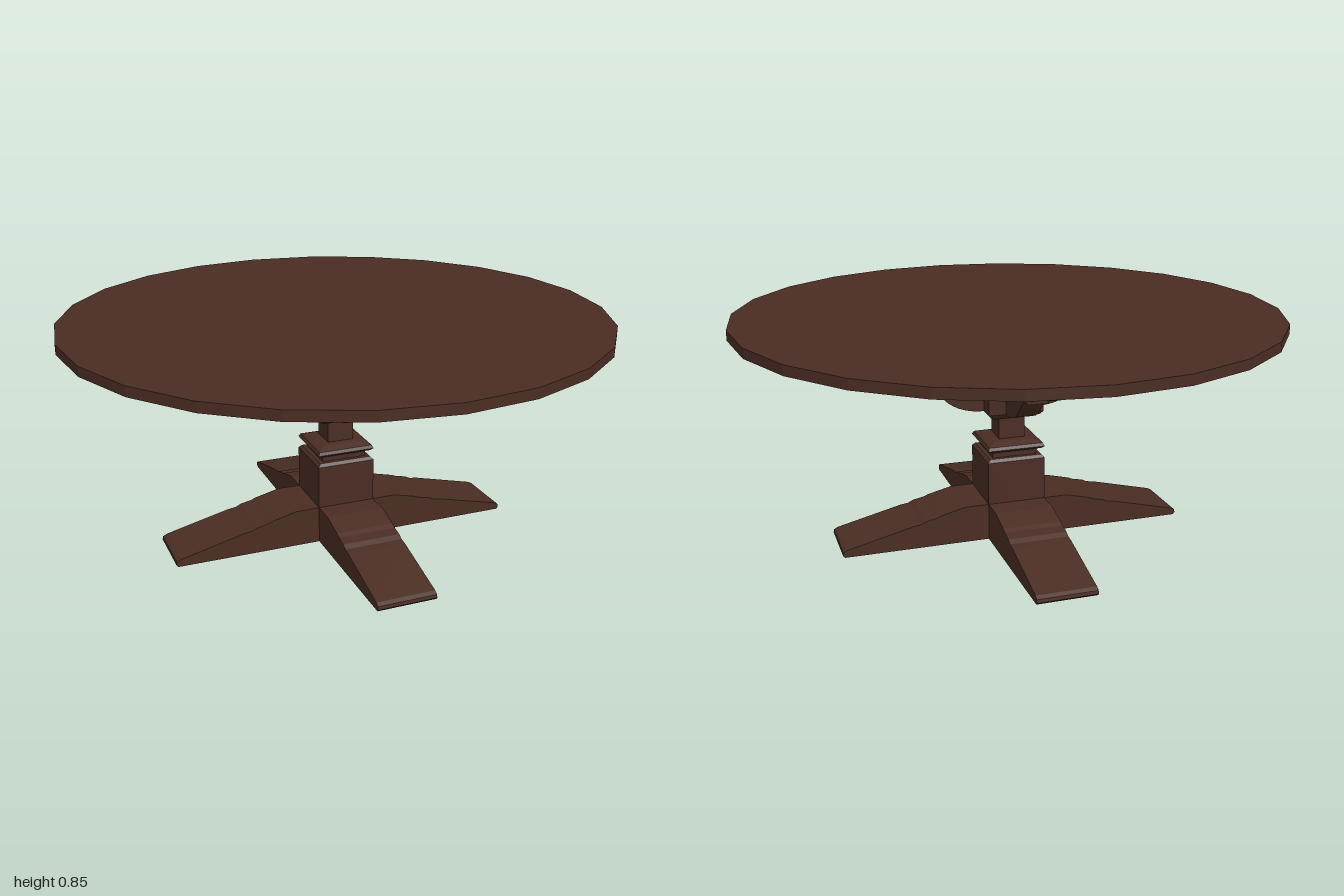
import * as THREE from 'three';

const wood = new THREE.MeshStandardMaterial({ color: 0x4a2d23, flatShading: true });
wood.name = 'dark walnut';

function add(parent, name, geometry) {
  const mesh = new THREE.Mesh(geometry, wood);
  mesh.name = name;
  parent.add(mesh);
  return mesh;
}

// Square turned piece from [half width, height] points, bottom to top
function squareTurning(points) {
  const profile = points.map(([w, y]) => new THREE.Vector2(w * Math.SQRT2, y));
  return new THREE.LatheGeometry(profile, 4, Math.PI / 4);
}

// Side outline running out along +x, extruded and centred across z
function slab(shape, width) {
  const geometry = new THREE.ExtrudeGeometry(shape, { depth: width, bevelEnabled: false, curveSegments: 6 });
  return geometry.translate(0, 0, -width / 2);
}

function footShape() {
  const s = new THREE.Shape();
  s.moveTo(0, 0);
  s.lineTo(0.655, 0);
  s.lineTo(0.662, 0.008);
  s.lineTo(0.66, 0.02);
  s.lineTo(0.645, 0.028);
  // shallow ridges near the top of the slope
  s.lineTo(0.4, 0.088);
  s.lineTo(0.37, 0.092);
  s.lineTo(0.35, 0.102);
  s.lineTo(0.31, 0.11);
  s.lineTo(0.29, 0.118);
  s.lineTo(0.2, 0.14);
  s.lineTo(0, 0.14);
  return s;
}

function braceShape() {
  const s = new THREE.Shape();
  s.moveTo(0.04, 0.485);
  s.lineTo(0.12, 0.485);
  s.quadraticCurveTo(0.21, 0.49, 0.26, 0.545);
  s.lineTo(0.3, 0.59);
  // stepped notch
  s.lineTo(0.34, 0.59);
  s.lineTo(0.34, 0.618);
  s.lineTo(0.39, 0.618);
  s.quadraticCurveTo(0.405, 0.655, 0.45, 0.659);
  s.lineTo(0.52, 0.661);
  // rounded scroll end
  s.bezierCurveTo(0.6, 0.67, 0.66, 0.73, 0.66, 0.812);
  s.lineTo(0.575, 0.812);
  s.lineTo(0.3, 0.7);
  s.lineTo(0.23, 0.66);
  s.lineTo(0.1, 0.575);
  s.lineTo(0.04, 0.54);
  return s;
}

export function createModel() {
  const table = new THREE.Group();
  table.name = 'pedestal table';

  const top = add(table, 'tabletop', new THREE.CylinderGeometry(1, 1, 0.036, 24));
  top.position.y = 0.828;

  // Pedestal
  add(table, 'pedestalBlock', squareTurning([
    [0, 0], [0.11, 0], [0.11, 0.302], [0.1, 0.313], [0.085, 0.313], [0.085, 0.333],
    [0.1, 0.338], [0.11, 0.348], [0.104, 0.36], [0.075, 0.371], [0.05, 0.373]]));
  add(table, 'pedestalNeck', squareTurning([
    [0.05, 0.37], [0.05, 0.455], [0.07, 0.457], [0.095, 0.472], [0.105, 0.485]]));
  add(table, 'pedestalVase', squareTurning([
    [0.105, 0.485], [0.107, 0.58], [0.1, 0.63], [0.085, 0.665], [0.058, 0.69]]));
  add(table, 'capital', squareTurning([
    [0.058, 0.69], [0.058, 0.735], [0.085, 0.735], [0.085, 0.767],
    [0.11, 0.767], [0.11, 0.812]]));

  // Four feet and four braces, one pair on each side
  const foot = slab(footShape(), 0.22);
  const brace = slab(braceShape(), 0.08);
  for (let i = 0; i < 4; i++) {
    const angle = (i * Math.PI) / 2;
    add(table, 'foot', foot).rotation.y = angle;
    add(table, 'brace', brace).rotation.y = angle;
  }
  return table;
}
